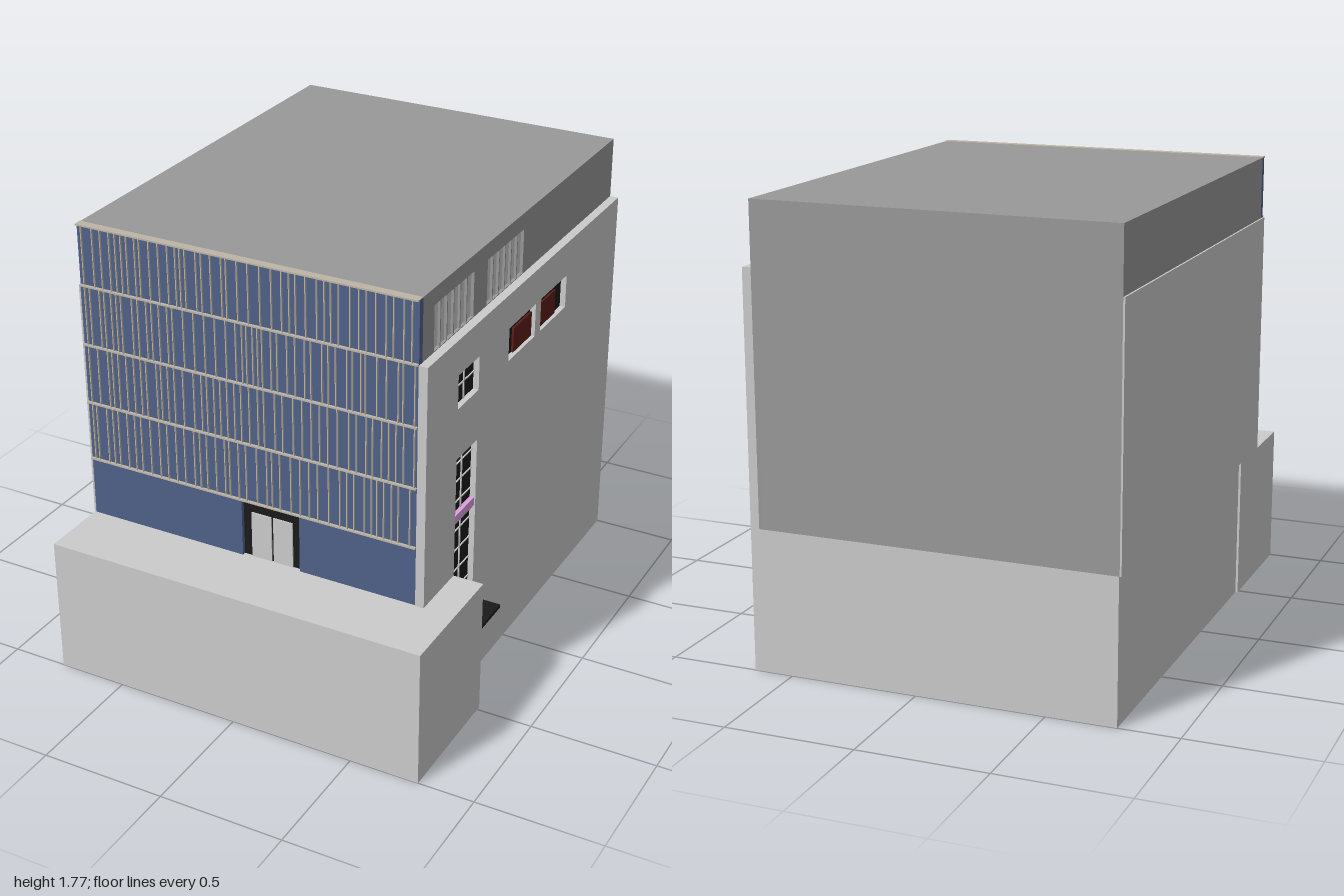
import * as THREE from 'three';

const mat = (color) => new THREE.MeshStandardMaterial({ color });

export function createModel() {
  const root = new THREE.Group();
  const grey = mat(0xcccccc), dark = mat(0x999999), blue = mat(0x4f6189), black = mat(0x1a1a1a);
  const red = mat(0x5e1f18), pink = mat(0xdda0dd), tan = mat(0xbdb5a6);

  // Box given by its extents on each axis
  const box = (name, m, x0, x1, y0, y1, z0, z1, parent = root) => {
    const mesh = new THREE.Mesh(new THREE.BoxGeometry(x1 - x0, y1 - y0, z1 - z0), m);
    mesh.position.set((x0 + x1) / 2, (y0 + y1) / 2, (z0 + z1) / 2);
    mesh.name = name;
    parent.add(mesh);
    return mesh;
  };
  // Side wall facing +x: outline and rectangular holes given as z, y
  const sideWall = (name, m, x0, x1, outline, holes) => {
    const shape = new THREE.Shape(outline.map(([z, y]) => new THREE.Vector2(-z, y)));
    for (const [z0, z1, y0, y1] of holes) {
      shape.holes.push(new THREE.Path([[z0, y0], [z0, y1], [z1, y1], [z1, y0]]
        .map(([z, y]) => new THREE.Vector2(-z, y))));
    }
    const geo = new THREE.ExtrudeGeometry(shape, { depth: x1 - x0, bevelEnabled: false });
    geo.rotateY(Math.PI / 2);
    const mesh = new THREE.Mesh(geo, m);
    mesh.position.x = x0;
    mesh.name = name;
    root.add(mesh);
  };
  const group = (name) => {
    const g = new THREE.Group();
    g.name = name;
    root.add(g);
    return g;
  };

  // Main volumes
  box('podium', grey, -0.777, 0.777, 0, 0.555, 0.482, 1);
  box('lowerBody', grey, -0.768, 0.62, 0, 0.555, -1, 0.482);
  box('upperBody', dark, -0.77, 0.605, 0.555, 1.77, -1, 0.7);
  box('leftWall', grey, -0.777, -0.77, 0.555, 1.525, -1, 0.728);
  box('upperSideBacking', dark, 0.605, 0.62, 0.555, 1.525, -1, 0.7);

  // Right wall with window openings and a door notch reaching the ground
  const stair = [0.308, 0.48];
  const windows = [[0.308, 0.48, 1.25, 1.385], [-0.19, 0.05, 1.25, 1.385], [-0.485, -0.24, 1.25, 1.385]];
  sideWall('rightWall', grey, 0.62, 0.655, [
    [0.728, 0], [stair[1], 0], [stair[1], 1.045], [stair[0], 1.045], [stair[0], 0],
    [-1, 0], [-1, 1.525], [0.728, 1.525],
  ], windows);
  for (const [z0, z1, y0, y1] of windows) box('windowGlass', black, 0.621, 0.632, y0, y1, z0, z1);
  box('redBlindFront', red, 0.632, 0.64, 1.25, 1.35, -0.19, -0.025);
  box('redBlindBack', red, 0.632, 0.64, 1.25, 1.35, -0.415, -0.24);

  // Window bars
  const bars = group('windowBars');
  const hBar = (y) => box('horizontalBar', grey, 0.632, 0.637, y - 0.002, y + 0.002, ...stair, bars);
  box('verticalBar', grey, 0.632, 0.637, 1.25, 1.385, 0.391, 0.397, bars);
  hBar(1.322);

  // Stair window, side door and canopy
  box('stairGlass', black, 0.621, 0.632, 0, 1.045, ...stair);
  box('stairBar', grey, 0.632, 0.637, 0.395, 1.045, 0.391, 0.397, bars);
  for (const y of [0.455, 0.54, 0.628, 0.715, 0.84, 0.925, 1.0]) hBar(y);
  for (const y of [0.36, 0.765]) box('pinkBand', pink, 0.632, 0.65, y, y + 0.035, ...stair);
  box('sideDoor', grey, 0.632, 0.64, 0, 0.23, 0.351, 0.437);
  box('canopy', black, 0.632, 0.77, 0.345, 0.359, 0.304, 0.478);

  // Top storey side wall with two panelled windows
  const topWindows = [[0.297, 0.613], [-0.13, 0.185]];
  const topOutline = [[0.7, 1.525], [0.7, 1.77], [-1, 1.77], [-1, 1.525]];
  sideWall('topStoreySide', dark, 0.605, 0.62, topOutline, topWindows.map(([a, b]) => [a, b, 1.528, 1.705]));
  for (const [a, b] of topWindows) {
    box('topWindowPanel', grey, 0.604, 0.608, 1.525, 1.705, a, b);
    for (let i = 1; i < 6; i++) {
      const z = a + (b - a) * i / 6;
      box('topWindowBar', dark, 0.608, 0.618, 1.525, 1.705, z - 0.003, z + 0.003);
    }
  }

  // Blue front: ground storey around the entrance, then four storeys
  box('groundFacadeLeft', blue, -0.77, -0.105, 0.555, 0.8, 0.7, 0.725);
  box('groundFacadeRight', blue, 0.14, 0.62, 0.555, 0.8, 0.7, 0.725);
  box('entranceFrame', black, -0.105, 0.14, 0.555, 0.8, 0.7, 0.71);
  box('entranceDoorLeaf', grey, -0.07, 0.015, 0.555, 0.745, 0.71, 0.715);
  box('entranceDoorLeaf', grey, 0.023, 0.105, 0.555, 0.745, 0.71, 0.715);
  box('upperFacade', blue, -0.77, 0.62, 0.8, 1.768, 0.7, 0.725);

  // Floor edges
  const levels = [0.8, 1.043, 1.286, 1.529, 1.77];
  for (const y of levels) box('floorEdge', tan, -0.77, 0.62, y - 0.004, y + 0.002, 0.703, 0.737);

  // Irregularly spaced vertical fins
  const fins = group('facadeFins');
  let seed = 7;
  const rand = () => (seed = (seed * 16807) % 2147483647) / 2147483647;
  for (let i = 0; i < 4; i++) {
    for (let x = -0.75; x < 0.61; x += 0.018 + 0.03 * rand()) {
      box('fin', tan, x - 0.002, x + 0.002, levels[i] + 0.002, levels[i + 1] - 0.004, 0.725, 0.733, fins);
    }
  }
  return root;
}
